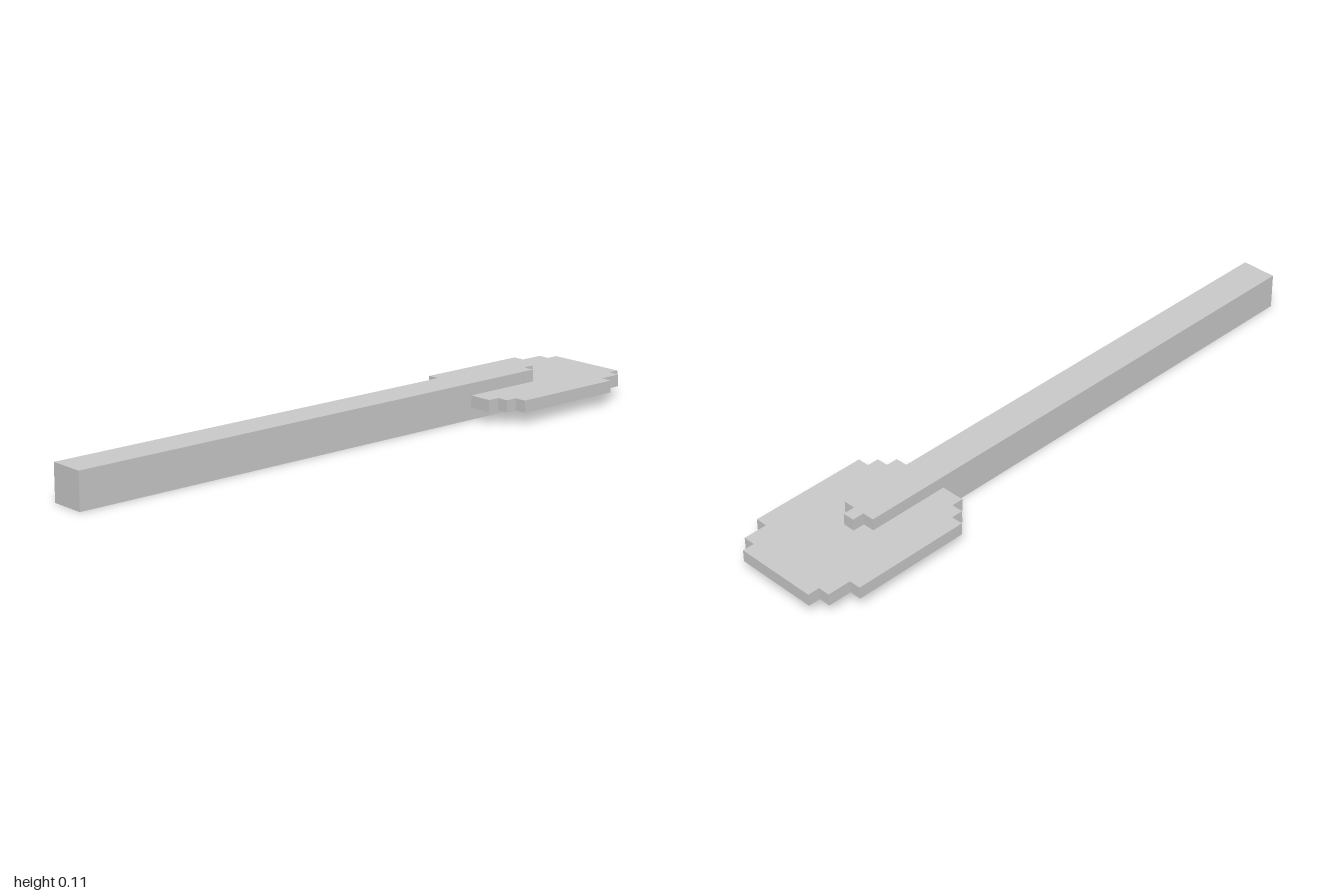
import * as THREE from 'three';

// The model sits on a grid of cubes, 53 along its length.
const U = 2 / 53;

// Stepped, mirrored slab: rows of [half width, start row, end row] running back to front.
function steppedSlab(name, rows, bottom, top, material) {
  const right = [];
  for (const [half, start, end] of rows) {
    right.push([half, start], [half, end]);
  }
  const left = right.map(([x, z]) => [-x, z]).reverse();
  const points = [...right, ...left].map(([x, z]) => new THREE.Vector2(x * U, z * U - 1));
  const geometry = new THREE.ExtrudeGeometry(new THREE.Shape(points), {
    depth: (top - bottom) * U,
    bevelEnabled: false,
  });
  geometry.rotateX(Math.PI / 2); // outline y becomes z, depth goes down
  geometry.translate(0, top * U, 0);
  const mesh = new THREE.Mesh(geometry, material);
  mesh.name = name;
  return mesh;
}

export function createModel() {
  const group = new THREE.Group();
  group.name = 'paddle';
  const material = new THREE.MeshStandardMaterial({ color: 0xcccccc, flatShading: true });

  // Thin blade with stepped corners
  const bladeRows = [[3.5, 0, 1], [4.5, 1, 3], [5.5, 3, 13], [4.5, 13, 14], [3.5, 14, 15]];
  group.add(steppedSlab('blade', bladeRows, 1, 2, material));

  // Square handle with a narrow tip overlapping the blade
  const handleRows = [[0.5, 7, 8], [1.5, 8, 53]];
  group.add(steppedSlab('handle', handleRows, 0, 3, material));

  return group;
}
